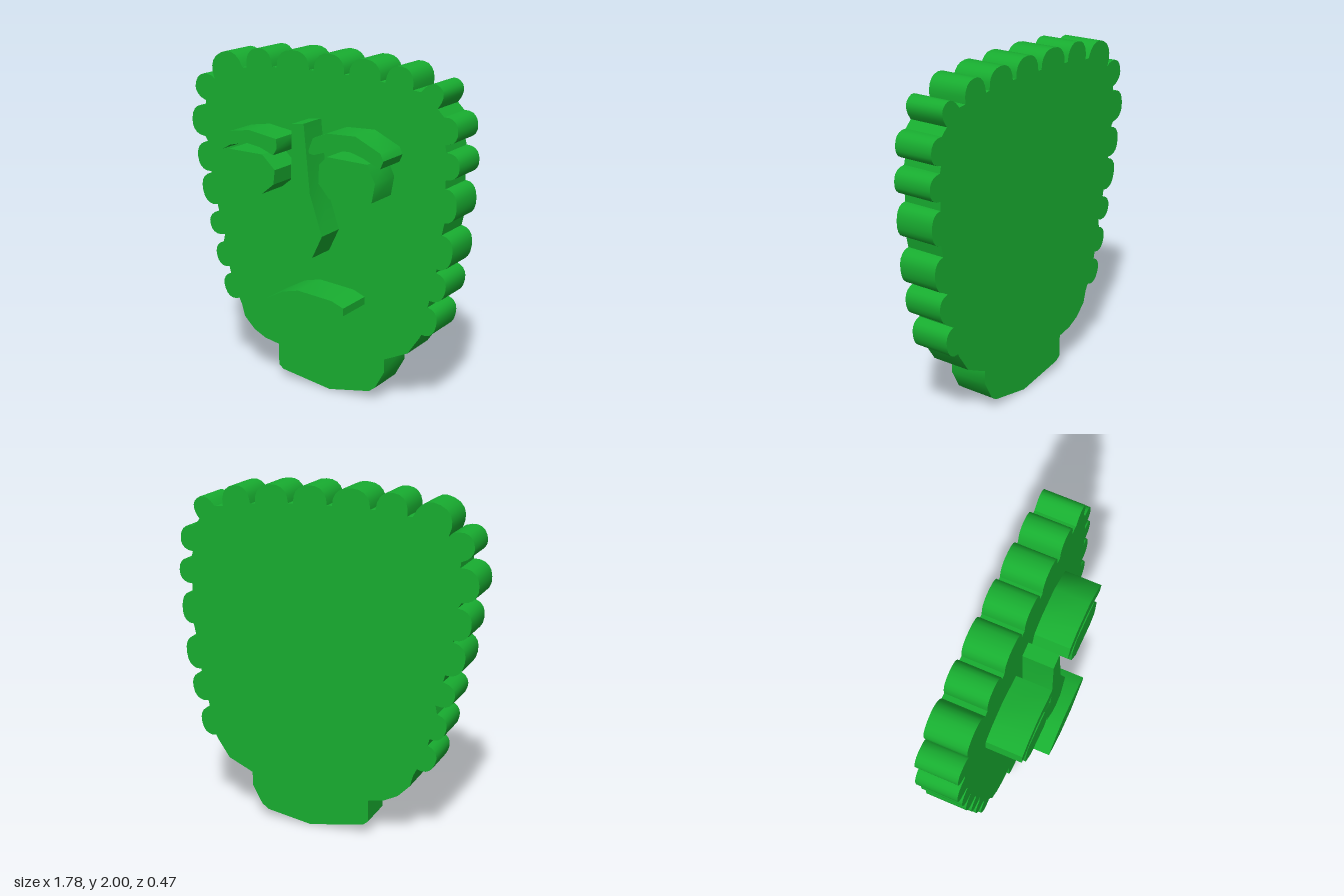
import * as THREE from 'three';
import { toCreasedNormals } from 'three/addons/utils/BufferGeometryUtils.js';

const green = new THREE.MeshStandardMaterial({ color: 0x18ad30 });

// Outline points are in hundredths of a unit.
function plate(name, points, z0, z1) {
  const shape = new THREE.Shape(points.map(([x, y]) => new THREE.Vector2(x / 100, y / 100)));
  const geometry = new THREE.ExtrudeGeometry(shape, { depth: z1 - z0, bevelEnabled: false });
  geometry.translate(0, 0, z0);
  const mesh = new THREE.Mesh(toCreasedNormals(geometry, 0.7), green);
  mesh.name = name;
  return mesh;
}

// Rounded bump from a to b, rising h to the left of the direction of travel.
function curl([ax, ay, bx, by, h]) {
  const dx = bx - ax, dy = by - ay, len = Math.hypot(dx, dy), steps = 10, points = [];
  for (let i = 0; i <= steps; i++) {
    const t = Math.PI * i / steps, c = Math.cos(t);
    const along = 0.5 - 0.5 * Math.sign(c) * Math.abs(c) ** 0.85;
    const out = h * Math.max(0, Math.sin(t)) ** 0.85 / len;
    points.push([ax + dx * along - dy * out, ay + dy * along + dx * out]);
  }
  return points;
}

export function createModel() {
  const group = new THREE.Group();
  group.name = 'mask';

  // Curls around the head: start x, y, end x, y, height
  const curls = [
    // right side of the face, going up
    [-57, 45, -63, 60, 8], [-64, 64, -68, 79, 7.5], [-67, 84, -71, 98, 9],
    [-72, 102, -76, 121, 9], [-76, 122, -78, 140, 9], [-80, 143, -79, 162, 10],
    [-79, 165, -74, 180, 10],
    // across the top
    [-72, 178, -52, 187, 13], [-49, 187, -31, 189, 11], [-28, 189, -6, 189.5, 10.5],
    [-3, 189.5, 17, 189, 10.5], [20, 189, 40, 187.5, 10.5], [43, 187, 60, 184.5, 11],
    [65, 184, 75, 176, 10],
    // left side of the face, going down
    [79, 172, 80, 157, 8], [81, 153, 81, 138, 8], [81, 133, 81, 114, 7],
    [79.5, 107, 77, 87, 8], [76.5, 85, 73, 68, 8], [72, 64, 68.5, 47, 7.5],
  ];
  // Jaw and chin close the outline
  const jaw = [
    [67.5, 45], [60, 34], [45, 27], [45, 19], [39, 8], [35, 5], [8, 0], [-25, 5.5],
    [-28, 8], [-28, 21], [-38, 23], [-46, 27], [-53, 34], [-55, 41],
  ];
  group.add(plate('headWithCurls', [...curls.flatMap(curl), ...jaw], -0.24, 0));

  // Raised features on the face
  group.add(plate('rightBrow', [
    [-55, 143.5], [-54, 150.5], [-46, 154], [-33, 156], [-14.5, 153], [-14, 147.5],
    [-16.5, 143.5], [-25.5, 147], [-35, 148.5], [-46, 146], [-51.5, 143],
  ], 0, 0.21));
  group.add(plate('leftBrow', [
    [7, 149], [10, 156.5], [19, 160], [37, 160.5], [52.5, 153], [54.5, 149],
    [52.5, 144.5], [41, 149.5], [34, 151.5], [24.5, 151.5], [10.5, 147], [7.5, 147.5],
  ], 0, 0.21));
  group.add(plate('rightEye', [
    [-47, 143.5], [-24, 143], [-15.5, 135], [-16.5, 126.5], [-24.5, 120],
    [-43, 122.5], [-49.5, 129], [-50, 136],
  ], 0, 0.21));
  group.add(plate('leftEye', [
    [19, 147], [44.5, 146], [49.5, 136], [47.5, 125], [41.5, 122],
    [20.5, 123.5], [13.5, 131.5], [14, 142],
  ], 0, 0.21));
  group.add(plate('nose', [
    [-6, 162], [2, 163], [6, 123.5], [14, 100], [7.5, 86.5], [1, 85],
    [-3.5, 86.5], [-12.5, 95], [-6.5, 123.5],
  ], 0, 0.18));
  group.add(plate('mouth', [
    [-21, 58.5], [-9, 65], [1.5, 67.5], [24, 65.5], [31.5, 62.5], [31.5, 58],
    [13.5, 50], [-3.5, 50], [-16.5, 55.5],
  ], 0, 0.235));

  return group;
}
